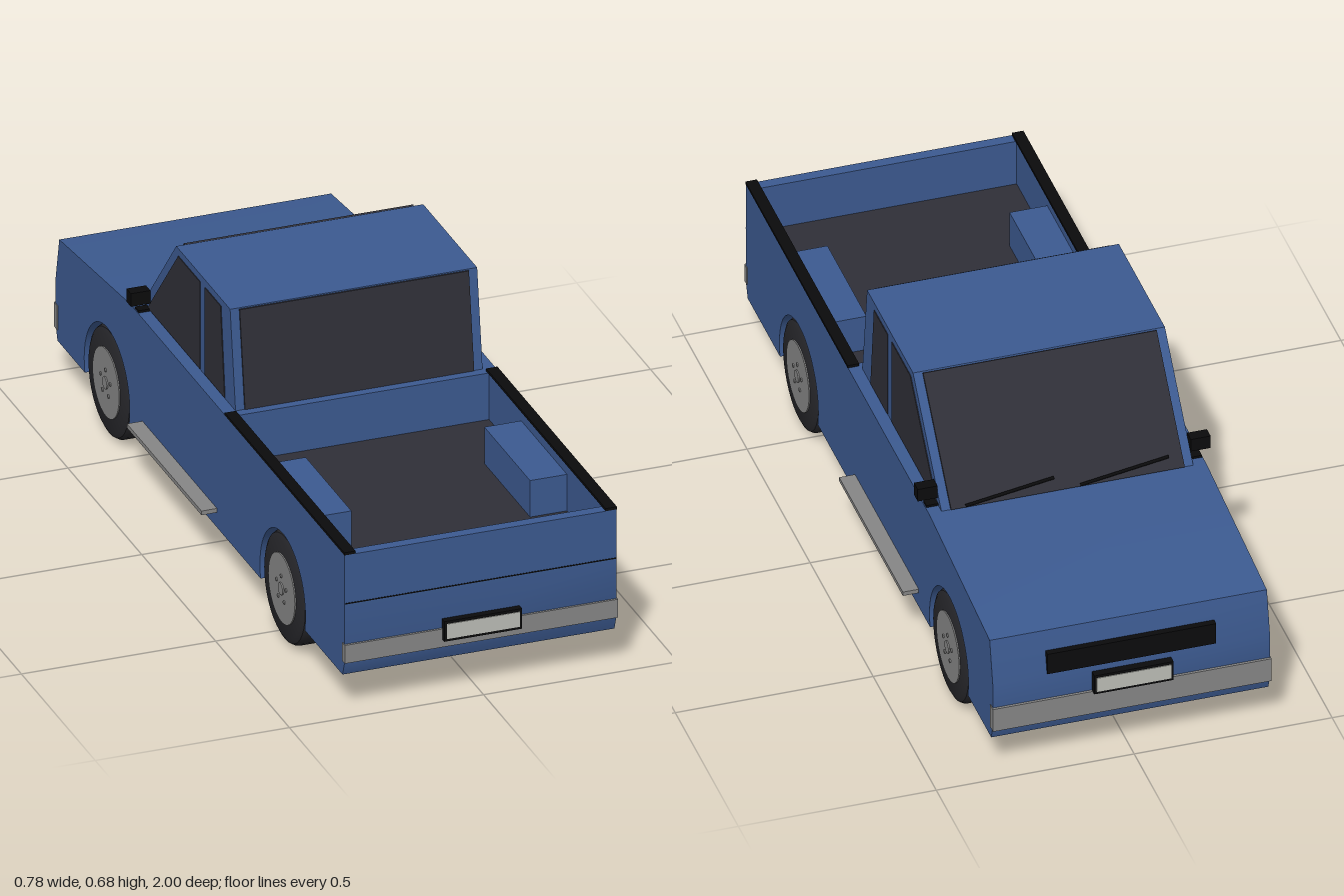
import * as THREE from 'three';
import { toCreasedNormals } from 'three/addons/utils/BufferGeometryUtils.js';

const mat = (name, color) => {
  const m = new THREE.MeshStandardMaterial({ color });
  m.name = name;
  return m;
};

export function createModel() {
  const blue = mat('blue paint', 0x3c5a90);
  const glass = mat('dark glass and bed liner', 0x2f2f37);
  const black = mat('black trim', 0x0b0b0c);
  const rubber = mat('tyre rubber', 0x27272b);
  const grey = mat('grey metal', 0x868686);
  const white = mat('plate white', 0xbdbeb7);

  const truck = new THREE.Group();
  truck.name = 'pickupTruck';

  const add = (name, geometry, material, parent = truck) => {
    const mesh = new THREE.Mesh(geometry, material);
    mesh.name = name;
    parent.add(mesh);
    return mesh;
  };
  // Box given by its minimum and maximum along each axis
  const box = (name, material, x0, x1, y0, y1, z0, z1) => {
    const m = add(name, new THREE.BoxGeometry(x1 - x0, y1 - y0, z1 - z0), material);
    m.position.set((x0 + x1) / 2, (y0 + y1) / 2, (z0 + z1) / 2);
    return m;
  };
  // Side profile (z, y) extruded across x
  const across = (shape, width, x = 0) =>
    new THREE.ExtrudeGeometry(shape, { depth: width, bevelEnabled: false, curveSegments: 20 })
      .translate(0, 0, -width / 2).rotateY(Math.PI / 2).translate(x, 0, 0);
  const profile = (pts) => new THREE.Shape(pts.map(([z, y]) => new THREE.Vector2(-z, y)));

  const rearAxle = 0.56, frontAxle = -0.63, W = 0.35;

  // Lower body: underside with two wheel arches, bonnet, cab base and bed base
  const body = new THREE.Shape();
  body.moveTo(-0.965, 0.1);
  const archY = 0.137, archR = 0.154;
  for (const z of [rearAxle, frontAxle]) {
    const a = Math.asin((archY - 0.1) / archR);
    body.lineTo(-z - archR * Math.cos(a), 0.1);
    body.absarc(-z, archY, archR, Math.PI + a, -a, true);
  }
  for (const [z, y] of [[-0.965, 0.1], [-0.978, 0.14], [-0.978, 0.26], [-0.953, 0.377],
    [-0.475, 0.427], [0.165, 0.427], [0.165, 0.297], [0.98, 0.297], [0.98, 0.14]]) body.lineTo(-z, y);
  body.closePath();
  add('lowerBody', toCreasedNormals(across(body, 2 * W), 0.5), blue);

  // Cab
  add('cab', across(profile([[0.157, 0.425], [0.12, 0.683], [-0.245, 0.683], [-0.472, 0.425]]), 0.636), blue);
  add('windscreen', across(profile([[-0.47, 0.427], [-0.476, 0.43], [-0.253, 0.683], [-0.247, 0.68]]), 0.59), glass);
  add('rearWindow', across(profile([[0.156, 0.428], [0.161, 0.428], [0.125, 0.68], [0.12, 0.68]]), 0.59), glass);

  // Cargo bed
  box('bedLiner', glass, -0.325, 0.325, 0.297, 0.302, 0.18, 0.952);
  box('bedFrontWall', blue, -0.325, 0.325, 0.297, 0.427, 0.165, 0.182);
  box('tailgate', blue, -W, W, 0.297, 0.427, 0.952, 0.98);
  box('tailgateSeam', black, -W, W, 0.295, 0.298, 0.979, 0.981);

  for (const s of [-1, 1]) {
    const side = s > 0 ? 'left' : 'right';
    const mirrored = (name, material, x0, x1, ...rest) =>
      box(side + name, material, Math.min(s * x0, s * x1), Math.max(s * x0, s * x1), ...rest);

    mirrored('BedWall', blue, 0.325, W, 0.297, 0.427, 0.165, 0.952);
    mirrored('BedRail', black, 0.322, W + 0.001, 0.427, 0.434, 0.17, 0.98);
    mirrored('WheelBox', blue, 0.23, 0.325, 0.302, 0.4, 0.4, 0.71);
    mirrored('SideStep', grey, W, 0.39, 0.14, 0.151, -0.39, 0.115);
    mirrored('Mirror', black, 0.32, 0.37, 0.45, 0.485, -0.445, -0.415);
    mirrored('MirrorFoot', black, 0.318, 0.348, 0.427, 0.433, -0.445, -0.42);

    // Side windows, split by a pillar
    add(side + 'RearSideWindow', across(profile([[0.087, 0.43], [0.06, 0.664], [-0.047, 0.664], [-0.047, 0.43]]), 0.004, s * 0.318), glass);
    add(side + 'DoorWindow', across(profile([[-0.08, 0.43], [-0.08, 0.664], [-0.228, 0.664], [-0.435, 0.43]]), 0.004, s * 0.318), glass);
  }

  // Wipers lying on the windscreen
  for (const x of [-0.26, 0.03]) {
    const a = new THREE.Vector3(x, 0.456, -0.457), b = new THREE.Vector3(x + 0.23, 0.435, -0.477);
    add('wiper', new THREE.TubeGeometry(new THREE.LineCurve3(a, b), 1, 0.004, 6), black);
  }

  // Bumpers, grille and plates
  box('rearBumper', grey, -0.352, 0.352, 0.139, 0.188, 0.968, 0.986);
  box('frontBumper', grey, -0.352, 0.352, 0.13, 0.195, -0.985, -0.962);
  box('grille', black, -0.213, 0.213, 0.267, 0.325, -0.981, -0.96);
  for (const [name, s, y] of [['rear', 1, 0.186], ['front', -1, 0.222]]) {
    const z = (a, b) => (s > 0 ? [a, b] : [-b, -a]);
    box(name + 'PlateFrame', black, -0.1, 0.1, y - 0.027, y + 0.027, ...z(0.976, 0.998));
    box(name + 'Plate', white, -0.094, 0.094, y - 0.02, y + 0.02, ...z(0.995, 1));
  }

  // Wheels
  const R = 0.143, half = 0.047;
  const tyre = toCreasedNormals(new THREE.LatheGeometry(
    [[0, -half], [0.125, -half], [0.137, -0.041], [R, -0.03], [R, 0.03], [0.137, 0.041], [0.125, half], [0, half]]
      .map(([r, y]) => new THREE.Vector2(r, y)), 36).rotateZ(-Math.PI / 2), 0.6);
  const disc = new THREE.CylinderGeometry(0.09, 0.09, 0.006, 32).rotateZ(-Math.PI / 2);
  const cap = new THREE.CylinderGeometry(0.016, 0.016, 0.005, 16).rotateZ(-Math.PI / 2);
  const nut = new THREE.CylinderGeometry(0.005, 0.005, 0.004, 8).rotateZ(-Math.PI / 2);
  for (const [name, z] of [['rear', rearAxle], ['front', frontAxle]]) {
    for (const s of [-1, 1]) {
      const wheel = new THREE.Group();
      wheel.name = name + (s > 0 ? 'Left' : 'Right') + 'Wheel';
      wheel.position.set(s * 0.303, R, z);
      if (s < 0) wheel.rotation.y = Math.PI;
      truck.add(wheel);
      add('tyre', tyre, rubber, wheel);
      add('wheelDisc', disc, grey, wheel).position.x = half;
      add('hubCap', cap, grey, wheel).position.x = half + 0.004;
      for (let i = 0; i < 5; i++) {
        const a = (i / 5) * Math.PI * 2;
        add('wheelNut', nut, grey, wheel).position.set(half + 0.004, 0.034 * Math.cos(a), 0.034 * Math.sin(a));
      }
    }
  }
  return truck;
}
